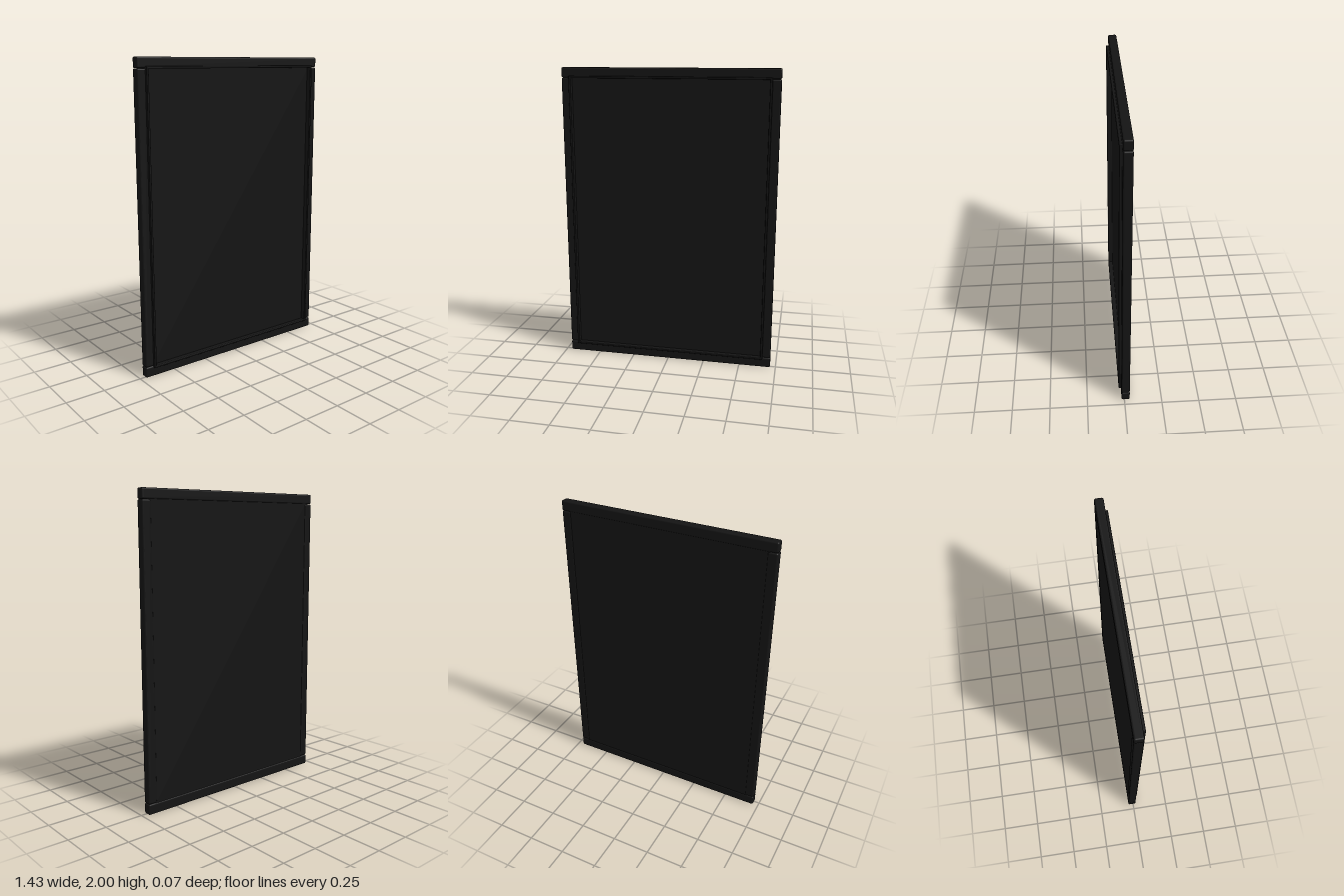
import * as THREE from 'three';
import { RoundedBoxGeometry } from 'three/addons/geometries/RoundedBoxGeometry.js';

const black = new THREE.MeshStandardMaterial({ color: 0x141414 });

// Softly rounded bar given by its two extreme corners
function bar(name, [x0, y0, z0], [x1, y1, z1], radius) {
  const geometry = new RoundedBoxGeometry(x1 - x0, y1 - y0, z1 - z0, 3, radius);
  const mesh = new THREE.Mesh(geometry, black);
  mesh.position.set((x0 + x1) / 2, (y0 + y1) / 2, (z0 + z1) / 2);
  mesh.name = name;
  return mesh;
}

export function createModel() {
  const model = new THREE.Group();
  model.name = 'framedPanel';
  const back = -0.036, front = 0.019;

  // Full-width rails
  model.add(bar('bottomRail', [-0.713, 0, back], [0.713, 0.069, front], 0.01));
  model.add(bar('topRail', [-0.713, 1.935, back], [0.713, 2, front], 0.01));

  // Side stiles and the narrow vertical beads, mirrored
  for (const [side, s] of [['left', 1], ['right', -1]]) {
    const span = (a, b) => (s > 0 ? [a, b] : [-b, -a]);
    const [a, b] = span(0.652, 0.713);
    model.add(bar(side + 'Stile', [a, 0.07, back], [b, 1.934, front], 0.01));
    const [c, d] = span(0.645, 0.66);
    model.add(bar(side + 'Bead', [c, 0.059, 0], [d, 1.946, 0.036], 0.004));
  }

  // Horizontal beads standing proud of the rails
  model.add(bar('bottomBead', [-0.658, 0.059, 0], [0.658, 0.073, 0.036], 0.004));
  model.add(bar('topBead', [-0.658, 1.932, 0], [0.658, 1.946, 0.036], 0.004));

  // Flat panel, recessed in front and almost flush behind
  const panel = new THREE.Mesh(new THREE.BoxGeometry(1.33, 1.89, 0.034), black);
  panel.position.set(0, 1.0025, -0.015);
  panel.name = 'panel';
  model.add(panel);

  return model;
}
